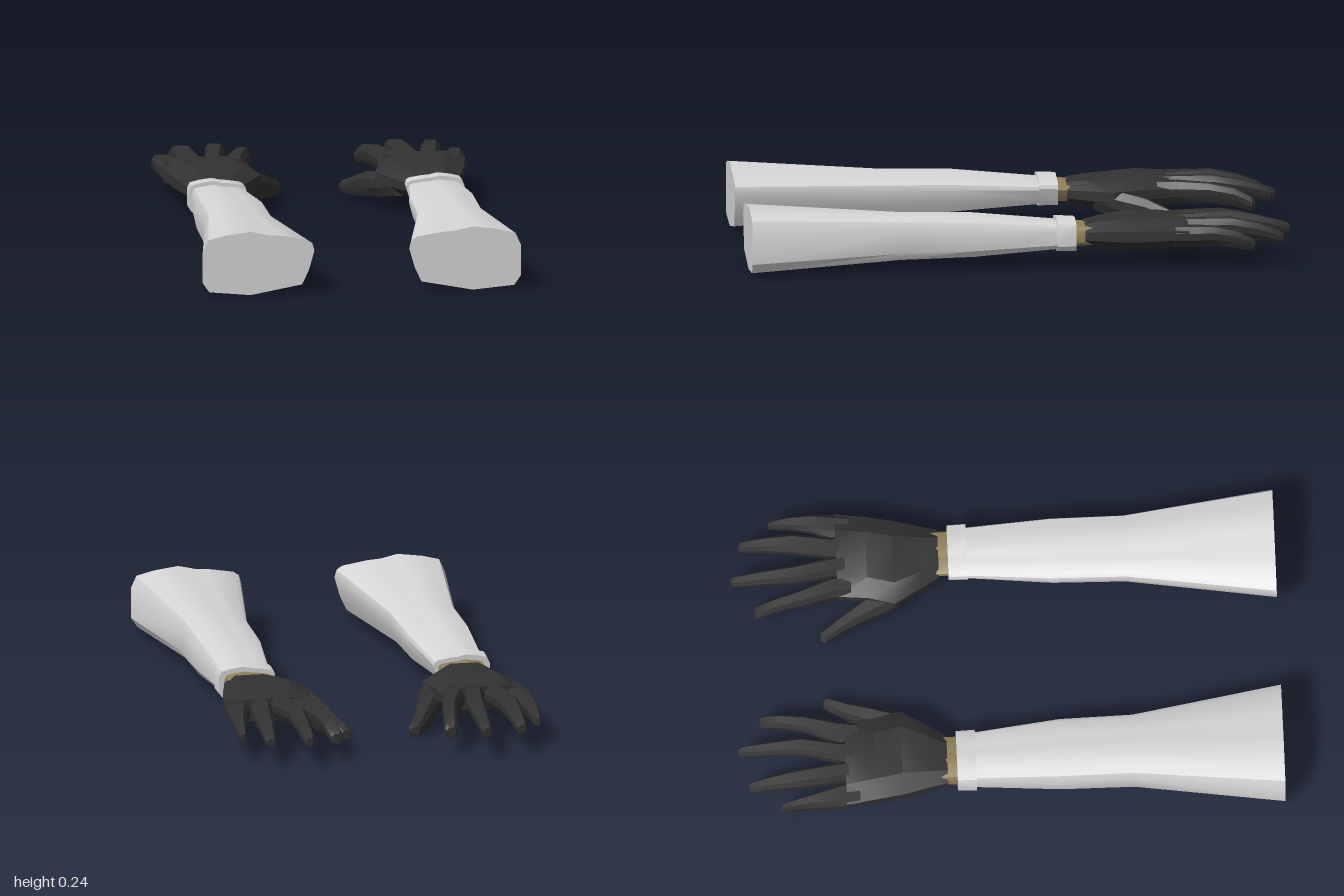
import * as THREE from 'three';
import { toCreasedNormals } from 'three/addons/utils/BufferGeometryUtils.js';

const mats = {
  sleeve: new THREE.MeshStandardMaterial({ name: 'pale grey sleeve', color: 0xd6d6d6 }),
  glove: new THREE.MeshStandardMaterial({ name: 'black glove', color: 0x323232 }),
  skin: new THREE.MeshStandardMaterial({ name: 'tan wrist', color: 0x8f7e58 }),
};

// Sleeve outline, counter-clockwise from the front, in its unit box
const OUTLINE = [
  [0.57, 1], [0.79, 0.95], [0.95, 0.88], [1, 0.69], [1, 0.21], [0.94, 0.06], [0.57, 0],
  [0.11, 0.15], [0.05, 0.37], [0, 0.68], [0.02, 0.8], [0.07, 0.86], [0.3, 0.925], [0.42, 0.94],
].reverse();
// Chamfered box for palm and fingers
const CHAMFER = [
  [1, 0.35], [1, 0.7], [0.78, 1], [0.22, 1], [0, 0.7], [0, 0.35], [0.2, 0], [0.8, 0],
];

// Ring filling x0..x1, y0..y1 at depth z
const ring = (shape, [z, x0, x1, y0, y1]) =>
  shape.map(([u, v]) => new THREE.Vector3(x0 + u * (x1 - x0), y0 + v * (y1 - y0), z));

// Skin a run of rings going towards -z and close both ends
function loft(name, rings, material, side, crease = 0.5) {
  const pos = [];
  const tri = (a, b, c) => {
    for (const p of side > 0 ? [a, b, c] : [a, c, b]) pos.push(p.x * side, p.y, p.z);
  };
  const n = rings[0].length;
  const mid = (r) => r.reduce((s, p) => s.add(p), new THREE.Vector3()).divideScalar(n);
  const first = rings[0], last = rings[rings.length - 1];
  const c0 = mid(first), c1 = mid(last);
  for (let i = 0; i < n; i++) {
    const j = (i + 1) % n;
    for (let k = 0; k + 1 < rings.length; k++) {
      const a = rings[k], b = rings[k + 1];
      tri(a[i], b[i], b[j]);
      tri(a[i], b[j], a[j]);
    }
    tri(c0, first[i], first[j]);
    tri(c1, last[j], last[i]);
  }
  const geo = new THREE.BufferGeometry();
  geo.setAttribute('position', new THREE.Float32BufferAttribute(pos, 3));
  const mesh = new THREE.Mesh(toCreasedNormals(geo, crease), material);
  mesh.name = name;
  return mesh;
}

// Rings as [z, left, right, bottom, top]
const FOREARM = [
  [1, 0.175, 0.588, 0.002, 0.24], [0.45, 0.265, 0.515, 0.034, 0.206],
  [0.18, 0.27, 0.515, 0.042, 0.2], [-0.14, 0.303, 0.498, 0.068, 0.168],
];
const CUFF = [[-0.13, 0.295, 0.51, 0.06, 0.183], [-0.2, 0.297, 0.508, 0.06, 0.18]];
const WRIST = [[-0.17, 0.315, 0.487, 0.075, 0.163], [-0.26, 0.315, 0.487, 0.08, 0.158]];
const PALM = [
  [-0.235, 0.31, 0.495, 0.076, 0.158], [-0.3, 0.27, 0.51, 0.068, 0.168],
  [-0.4, 0.21, 0.535, 0.062, 0.176], [-0.5, 0.235, 0.552, 0.068, 0.18],
  [-0.61, 0.245, 0.568, 0.085, 0.17],
];
const FINGERS = {
  indexFinger: [
    [-0.56, 0.25, 0.33, 0.085, 0.168], [-0.63, 0.242, 0.322, 0.088, 0.17],
    [-0.75, 0.215, 0.275, 0.095, 0.167], [-0.84, 0.202, 0.252, 0.085, 0.15],
    [-0.905, 0.191, 0.24, 0.066, 0.118], [-0.917, 0.198, 0.232, 0.07, 0.106],
  ],
  middleFinger: [
    [-0.56, 0.325, 0.405, 0.09, 0.172], [-0.63, 0.325, 0.397, 0.095, 0.175],
    [-0.77, 0.303, 0.368, 0.11, 0.18], [-0.88, 0.308, 0.36, 0.098, 0.158],
    [-0.985, 0.312, 0.352, 0.08, 0.13], [-1, 0.32, 0.346, 0.086, 0.12],
  ],
  ringFinger: [
    [-0.56, 0.397, 0.475, 0.09, 0.17], [-0.63, 0.403, 0.476, 0.093, 0.172],
    [-0.77, 0.422, 0.494, 0.105, 0.176], [-0.87, 0.438, 0.492, 0.092, 0.155],
    [-0.95, 0.449, 0.49, 0.076, 0.125], [-0.965, 0.455, 0.484, 0.082, 0.115],
  ],
  littleFinger: [
    [-0.56, 0.47, 0.563, 0.085, 0.16], [-0.63, 0.481, 0.57, 0.085, 0.16],
    [-0.7, 0.506, 0.572, 0.09, 0.16], [-0.78, 0.526, 0.57, 0.082, 0.143],
    [-0.842, 0.537, 0.566, 0.07, 0.115], [-0.853, 0.542, 0.562, 0.075, 0.107],
  ],
  thumb: [
    [-0.33, 0.26, 0.34, 0.065, 0.15], [-0.42, 0.196, 0.31, 0.046, 0.142],
    [-0.51, 0.17, 0.252, 0.028, 0.122], [-0.6, 0.137, 0.198, 0.014, 0.083],
    [-0.66, 0.108, 0.16, 0.009, 0.058], [-0.678, 0.115, 0.147, 0.016, 0.048],
  ],
};

function arm(side) {
  const group = new THREE.Group();
  group.name = side > 0 ? 'leftArm' : 'rightArm';
  const add = (name, rows, shape, material, crease) =>
    group.add(loft(name, rows.map((r) => ring(shape, r)), material, side, crease));
  add('forearmSleeve', FOREARM, OUTLINE, mats.sleeve, 0.55);
  add('cuff', CUFF, OUTLINE, mats.sleeve, 0.55);
  add('wrist', WRIST, OUTLINE, mats.skin, 0.55);
  add('palm', PALM, CHAMFER, mats.glove, 0.45);
  for (const [name, rows] of Object.entries(FINGERS)) add(name, rows, CHAMFER, mats.glove, 0.45);
  return group;
}

export function createModel() {
  const model = new THREE.Group();
  model.name = 'glovedArms';
  model.add(arm(1), arm(-1));
  return model;
}
